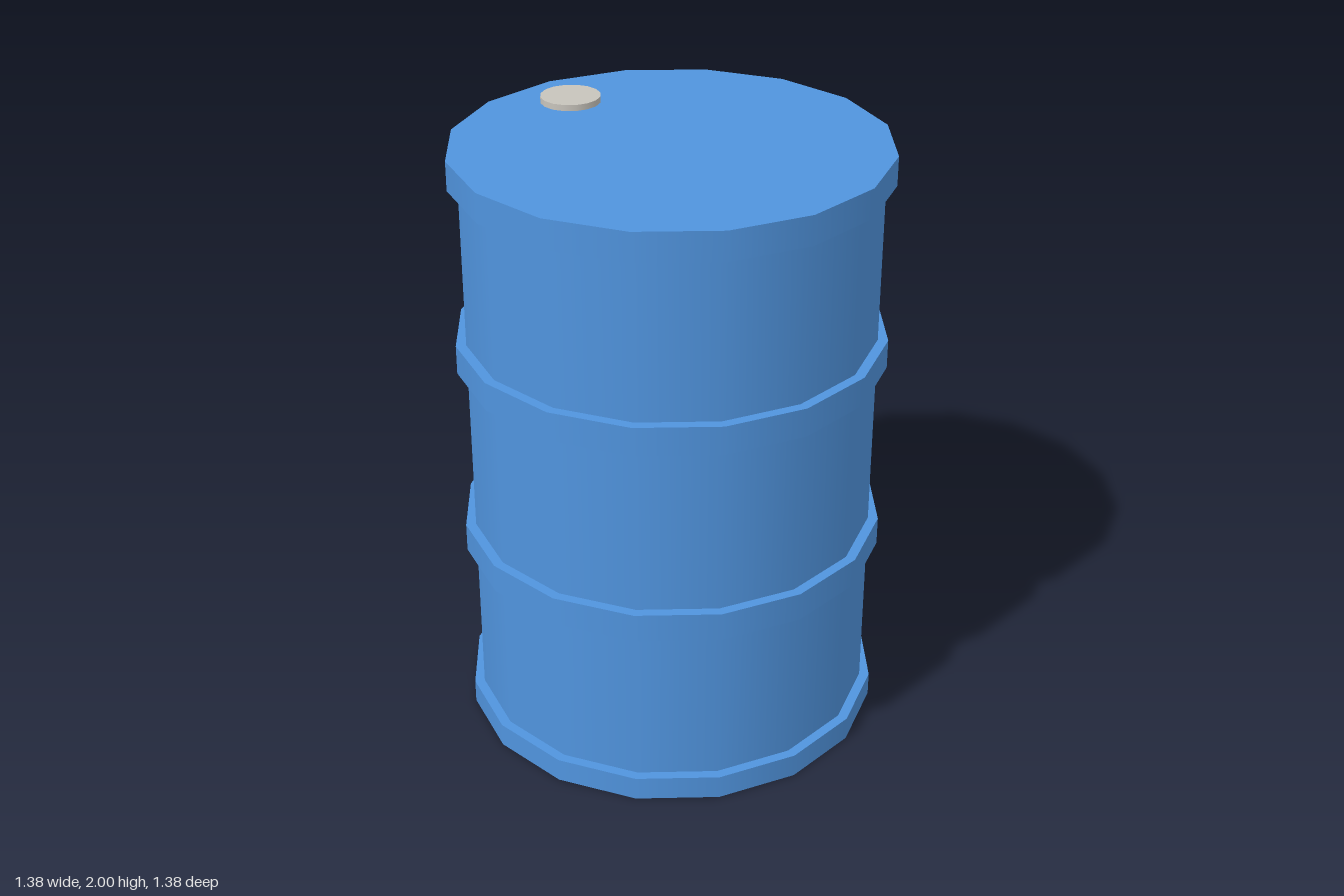
import * as THREE from 'three';

const SIDES = 16;

export function createModel() {
  const drum = new THREE.Group();
  drum.name = 'drum';
  const blue = new THREE.MeshStandardMaterial({ color: 0x5094de });
  const grey = new THREE.MeshStandardMaterial({ color: 0xc8c4bc });

  // Upright cylinder spanning two heights
  const addCylinder = (name, radius, bottom, top, material, x = 0, z = 0, open = false) => {
    const geometry = new THREE.CylinderGeometry(radius, radius, top - bottom, SIDES, 1, open);
    const mesh = new THREE.Mesh(geometry, material);
    mesh.name = name;
    mesh.position.set(x, (top + bottom) / 2, z);
    drum.add(mesh);
  };

  // Wall between the end rims
  addCylinder('body', 0.658, 0.04, 1.93, blue, 0, 0, true);

  // Raised hoops; the end ones close off the top and bottom
  const bands = [
    ['bottomRim', 0, 0.08],
    ['lowerHoop', 0.615, 0.71],
    ['upperHoop', 1.27, 1.365],
    ['topRim', 1.885, 1.98],
  ];
  for (const [name, bottom, top] of bands) addCylinder(name, 0.691, bottom, top, blue);

  // Filler cap set near the edge of the lid
  addCylinder('fillerCap', 0.098, 1.95, 2, grey, -0.492, 0.046);

  return drum;
}
